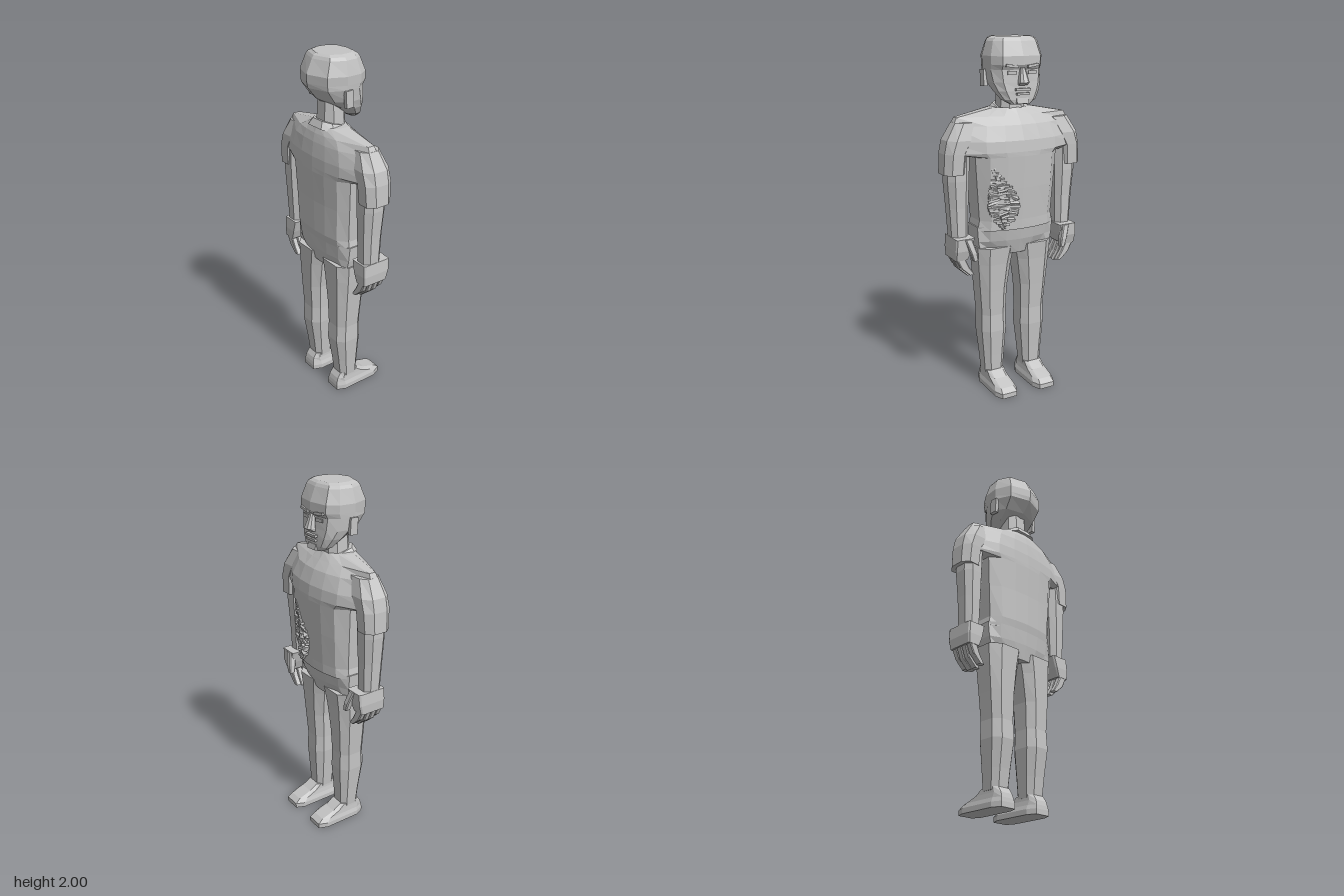
import * as THREE from 'three';

const grey = new THREE.MeshStandardMaterial({ color: 0xc4c4c4 });
grey.name = 'plain grey';

// Faceted skin over closed rings of [x, y, z], listed from bottom to top
function loft(name, rings) {
  const pos = [];
  const tri = (...pts) => pts.forEach((p) => pos.push(...p));
  const n = rings[0].length;
  for (let i = 0; i < rings.length - 1; i++) {
    for (let j = 0; j < n; j++) {
      const k = (j + 1) % n;
      const a = rings[i][j], b = rings[i][k], c = rings[i + 1][k], d = rings[i + 1][j];
      tri(a, c, b);
      tri(a, d, c);
    }
  }
  const centre = (r) => [0, 1, 2].map((q) => r.reduce((s, p) => s + p[q], 0) / n);
  const low = rings[0], high = rings[rings.length - 1];
  const cl = centre(low), ch = centre(high);
  for (let j = 0; j < n; j++) {
    const k = (j + 1) % n;
    tri(cl, low[j], low[k]);
    tri(ch, high[k], high[j]);
  }
  const g = new THREE.BufferGeometry();
  g.setAttribute('position', new THREE.Float32BufferAttribute(pos, 3));
  g.computeVertexNormals();
  const m = new THREE.Mesh(g, grey);
  m.name = name;
  return m;
}

// Mirrored ring from a half outline that runs from front centre to back centre
const mirrored = (y, half) => [
  ...half.map(([x, z]) => [x, y, z]),
  ...half.slice(1, -1).reverse().map(([x, z]) => [-x, y, z]),
];

// Body ring: side width w, corner width c, front and back z, side panel z range
const bodyRing = ([y, w, c, zf, zb, s0, s1]) => mirrored(y, [
  [0, zf], [c * 0.5, zf + 0.008], [c, zf + 0.03], [w, s0], [w, s1], [c, zb - 0.02], [c * 0.5, zb - 0.005], [0, zb],
]);

// Head ring: broad face, tapering back
const headRing = ([y, w, zf, zb]) => {
  const d = zb - zf;
  return mirrored(y, [
    [0, zf], [w * 0.7, zf + d * 0.06], [w * 0.95, zf + d * 0.25], [w, zf + d * 0.55], [w * 0.75, zf + d * 0.86], [0, zb],
  ]);
};

// Chamfered rectangle ring for limbs: x and z ranges, chamfer as a share of each side
const limbRing = ([y, x0, x1, z0, z1], s = 1, f = 0.25) => {
  const cx = s * (x0 + x1) / 2, cz = (z0 + z1) / 2, hx = (x1 - x0) / 2, hz = (z1 - z0) / 2, k = 1 - 2 * f;
  return [[k, -1], [1, -k], [1, k], [k, 1], [-k, 1], [-1, k], [-1, -k], [-k, -1]]
    .map(([u, v]) => [cx + u * hx, y, cz + v * hz]);
};

function box(name, size, at, rot = [0, 0, 0]) {
  const m = new THREE.Mesh(new THREE.BoxGeometry(...size), grey);
  m.position.set(...at);
  m.rotation.set(...rot);
  m.name = name;
  return m;
}

function makeHead() {
  const head = new THREE.Group();
  head.name = 'head';
  head.add(loft('skull', [
    [1.65, 0.06, -0.10, -0.05], [1.675, 0.1, -0.105, 0.0], [1.72, 0.13, -0.105, 0.06],
    [1.765, 0.148, -0.103, 0.13], [1.83, 0.157, -0.1, 0.183], [1.855, 0.158, -0.115, 0.188],
    [1.9, 0.16, -0.115, 0.19], [1.975, 0.14, -0.085, 0.155], [1.99, 0.13, -0.075, 0.145],
    [2.0, 0.105, -0.06, 0.13],
  ].map(headRing)));
  // Nose widens downward to the nostrils
  head.add(loft('nose', [
    limbRing([1.75, -0.025, 0.025, -0.12, -0.09]), limbRing([1.765, -0.028, 0.028, -0.145, -0.09]),
    limbRing([1.84, -0.012, 0.012, -0.115, -0.09]),
  ]));
  head.add(box('upperLip', [0.085, 0.012, 0.025], [0, 1.728, -0.106]));
  head.add(box('lowerLip', [0.075, 0.012, 0.025], [0, 1.705, -0.104]));
  head.add(box('chin', [0.07, 0.03, 0.03], [0, 1.665, -0.095], [0.2, 0, 0]));
  for (const s of [-1, 1]) {
    head.add(box('ear', [0.022, 0.09, 0.045], [s * 0.155, 1.785, 0.042], [0.06, 0, 0]));
    head.add(box('eyebrow', [0.07, 0.014, 0.02], [s * 0.062, 1.85, -0.103], [0, -s * 0.1, s * 0.12]));
    head.add(box('eye', [0.05, 0.018, 0.008], [s * 0.06, 1.815, -0.1], [0, -s * 0.1, 0]));
  }
  head.add(loft('neck', [limbRing([1.56, -0.075, 0.075, -0.03, 0.11]), limbRing([1.78, -0.065, 0.065, -0.02, 0.1])]));
  return head;
}

function makeTorso() {
  const torso = new THREE.Group();
  torso.name = 'torso';
  torso.add(loft('shirt', [
    [0.965, 0.235, 0.18, -0.108, 0.145, -0.03, 0.09],
    [1.02, 0.225, 0.175, -0.11, 0.155, -0.03, 0.09],
    [1.2, 0.238, 0.185, -0.122, 0.157, -0.035, 0.095],
    [1.375, 0.25, 0.19, -0.132, 0.165, -0.04, 0.1],
    [1.4, 0.395, 0.21, -0.132, 0.165, -0.01, 0.075],
    [1.46, 0.39, 0.21, -0.125, 0.164, 0.0, 0.07],
    [1.54, 0.355, 0.19, -0.095, 0.155, 0.01, 0.06],
    [1.585, 0.33, 0.16, -0.06, 0.145, 0.015, 0.055],
    [1.625, 0.12, 0.09, -0.03, 0.13, 0.015, 0.075],
  ].map(bodyRing)));
  // Collar tilts down toward the face side
  const tilt = (ring) => ring.map(([x, y, z]) => [x, y + (z - 0.05) * 0.28, z]);
  torso.add(loft('collar', [
    tilt(limbRing([1.59, -0.115, 0.115, -0.03, 0.145])), tilt(limbRing([1.632, -0.082, 0.082, -0.012, 0.125])),
  ]));
  torso.add(loft('pelvis', [
    [0.815, 0.215, 0.12, -0.06, 0.125, -0.03, 0.1],
    [0.9, 0.232, 0.17, -0.085, 0.14, -0.03, 0.095],
    [0.985, 0.238, 0.18, -0.1, 0.148, -0.03, 0.09],
  ].map(bodyRing)));
  return torso;
}

// Ragged torn strips on one side of the belly
function makeTear() {
  const tear = new THREE.Group();
  tear.name = 'tornPatch';
  let seed = 7;
  const rnd = () => (seed = (seed * 16807) % 2147483647) / 2147483647 - 0.5;
  const rows = 20;
  for (let i = 0; i < rows; i++) {
    const t = i / (rows - 1);
    const y = 1.31 - 0.33 * t;
    const cx = 0.165 - 0.055 * Math.min(1, t * 2);
    const half = 0.012 + 0.07 * Math.sin(Math.PI * Math.pow(t, 1.3));
    for (const u of [-0.67, 0, 0.67]) {
      const x = cx + u * half;
      const z = -0.122 + 0.022 * t * 0.6 + Math.max(0, x - 0.09) * 0.33 + Math.max(0, x - 0.175) * 0.7;
      tear.add(box('tornStrip', [half * 0.8, 0.013, 0.03], [x, y + rnd() * 0.01, z + 0.005 + rnd() * 0.012],
        [rnd() * 0.9, -0.3 + rnd() * 0.6, rnd() * 0.5]));
    }
  }
  return tear;
}

function makeArm(s) {
  const arm = new THREE.Group();
  arm.name = s > 0 ? 'leftArm' : 'rightArm';
  const part = (name, rows, f) => arm.add(loft(name, rows.map((r) => limbRing(r, s, f))));
  part('sleeve', [
    [1.288, 0.295, 0.42, -0.05, 0.105], [1.4, 0.285, 0.415, -0.055, 0.11],
    [1.47, 0.24, 0.4, -0.055, 0.11], [1.56, 0.2, 0.345, -0.03, 0.09],
  ]);
  part('arm', [
    [0.92, 0.28, 0.375, -0.02, 0.088], [1.1, 0.275, 0.385, -0.025, 0.095],
    [1.25, 0.27, 0.397, -0.035, 0.1], [1.39, 0.265, 0.395, -0.035, 0.1],
  ]);
  part('palm', [
    [0.815, 0.305, 0.378, -0.05, 0.1], [0.87, 0.285, 0.382, -0.065, 0.103], [0.938, 0.268, 0.378, -0.068, 0.1],
  ], 0.06);
  part('thumb', [
    [0.815, 0.262, 0.29, -0.092, -0.06], [0.86, 0.268, 0.305, -0.092, -0.05], [0.935, 0.29, 0.33, -0.075, -0.035],
  ], 0.15);
  // Four fingers curling inward
  for (let i = 0; i < 4; i++) {
    const z = 0.064 - i * 0.037, drop = i === 0 || i === 3 ? 0.012 : 0;
    part('finger', [
      [0.71 + drop, 0.265, 0.295, z, z + 0.032], [0.755 + drop, 0.295, 0.345, z, z + 0.033],
      [0.83, 0.325, 0.375, z, z + 0.034],
    ], 0.12);
  }
  return arm;
}

function makeLeg(s) {
  const leg = new THREE.Group();
  leg.name = s > 0 ? 'leftLeg' : 'rightLeg';
  const part = (name, rows, f) => leg.add(loft(name, rows.map((r) => limbRing(r, s, f))));
  part('trouserLeg', [
    [0.09, 0.068, 0.182, -0.022, 0.092], [0.2, 0.06, 0.19, -0.028, 0.105], [0.35, 0.048, 0.202, -0.038, 0.128],
    [0.45, 0.05, 0.2, -0.035, 0.122], [0.6, 0.045, 0.212, -0.045, 0.128],
    [0.76, 0.022, 0.225, -0.058, 0.134], [0.86, 0.0, 0.232, -0.07, 0.138],
  ], 0.23);
  part('shoe', [
    [0, 0.055, 0.19, -0.19, 0.125], [0.028, 0.055, 0.19, -0.19, 0.125], [0.05, 0.063, 0.183, -0.16, 0.122],
    [0.075, 0.068, 0.18, -0.08, 0.115], [0.105, 0.07, 0.178, -0.03, 0.095],
  ], 0.16);
  return leg;
}

export function createModel() {
  const figure = new THREE.Group();
  figure.name = 'standingFigure';
  figure.add(makeHead(), makeTorso(), makeTear());
  for (const s of [-1, 1]) figure.add(makeArm(s), makeLeg(s));
  return figure;
}
